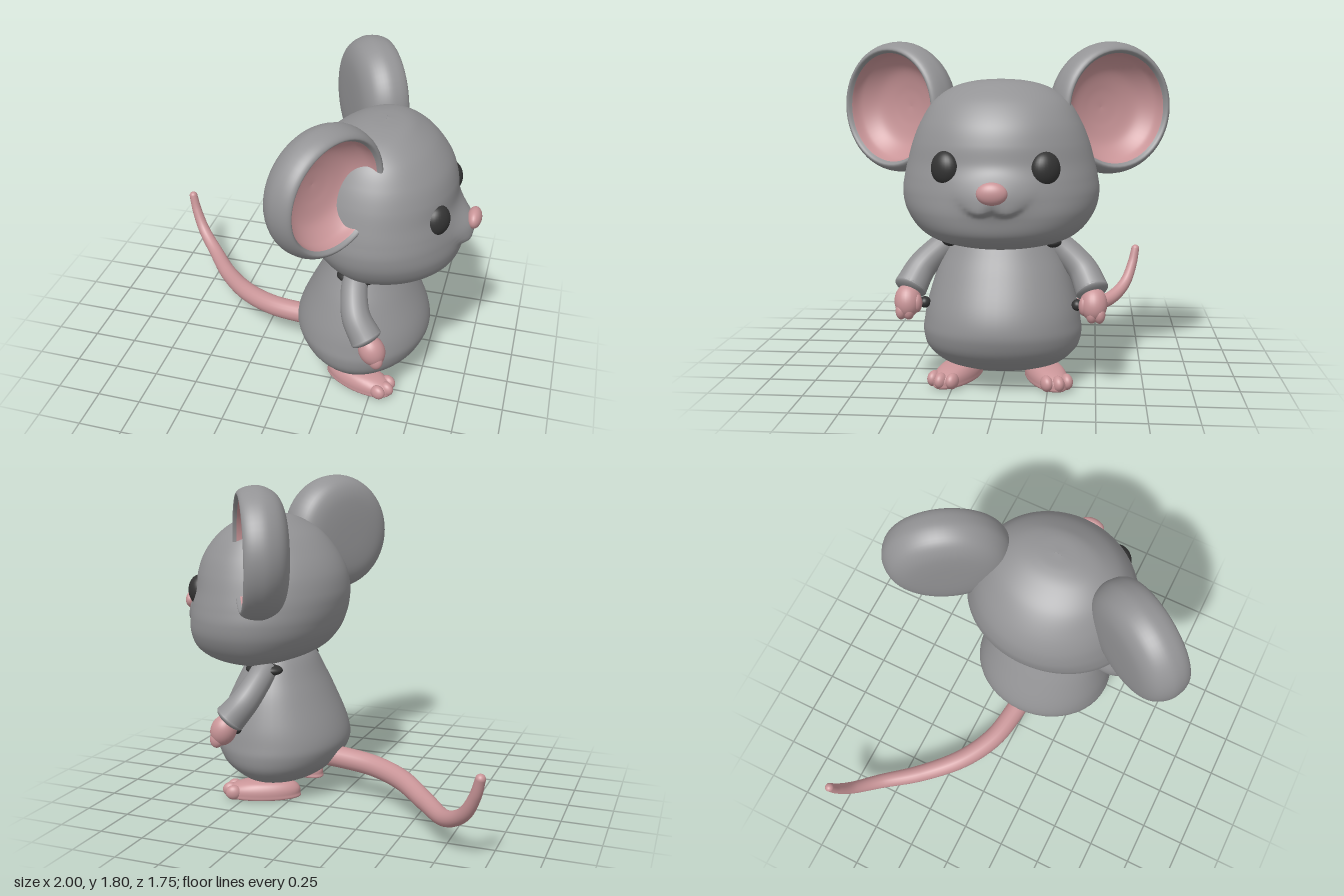
import * as THREE from 'three';

const mat = (name, color) => Object.assign(new THREE.MeshStandardMaterial({ color }), { name });

// Stacked oval rings; each row is [y, back x, front x, half width]
function loft(rows, xc, steps = 40, n = 48, bump = () => 0) {
  const a = new THREE.CatmullRomCurve3(rows.map(r => new THREE.Vector3(r[0], r[1], r[2])), false, 'catmullrom', 0.5);
  const b = new THREE.CatmullRomCurve3(rows.map(r => new THREE.Vector3(r[3], 0, 0)), false, 'catmullrom', 0.5);
  const pos = [], idx = [];
  for (let j = 0; j <= steps; j++) {
    const p = a.getPoint(j / steps), w = b.getPoint(j / steps).x;
    for (let i = 0; i < n; i++) {
      const t = i / n * Math.PI * 2, c = Math.cos(t), z = w * Math.sin(t);
      pos.push(xc + c * (c > 0 ? p.z - xc + bump(p.x, z) : xc - p.y), p.x, z);
      if (j < steps) {
        const k = j * n + i, m = j * n + (i + 1) % n;
        idx.push(k, k + n, m, m, k + n, m + n);
      }
    }
  }
  const g = new THREE.BufferGeometry();
  g.setAttribute('position', new THREE.Float32BufferAttribute(pos, 3));
  g.setIndex(idx);
  g.computeVertexNormals();
  return g;
}

// Tube whose radius runs smoothly from r0 to r1
function taper(points, r0, r1, segs = 40, sides = 20) {
  const curve = new THREE.CatmullRomCurve3(points.map(p => new THREE.Vector3(...p)));
  const g = new THREE.TubeGeometry(curve, segs, 1, sides);
  const pos = g.attributes.position, v = new THREE.Vector3();
  for (let i = 0; i < pos.count; i++) {
    const t = Math.floor(i / (sides + 1)) / segs, c = curve.getPointAt(t);
    v.fromBufferAttribute(pos, i).sub(c).multiplyScalar(r0 + (r1 - r0) * t * t).add(c);
    pos.setXYZ(i, v.x, v.y, v.z);
  }
  return g;
}

// Snout swelling plus two lip bulges with a crisp lower edge
function face(y, z) {
  const snout = 0.065 * Math.exp(-(((y - 1.065) / 0.075) ** 2) - (z / 0.14) ** 2);
  const across = (Math.abs(z) - 0.062) / 0.062;
  const d = y - 0.985 - 0.02 * across * across;
  const lip = 0.032 * Math.exp(-((across / 1.1) ** 2) - (d / (d < 0 ? 0.014 : 0.055)) ** 2);
  return snout + lip;
}

export function createModel() {
  const fur = mat('grey fur', 0x939395);
  const skin = mat('pink skin', 0xc99598);
  const dark = mat('dark', 0x343434);
  const model = new THREE.Group();
  model.name = 'mouse';

  const add = (name, geo, material, parent = model) => {
    const m = new THREE.Mesh(geo, material);
    m.name = name;
    parent.add(m);
    return m;
  };
  const blob = (name, material, p, r, parent = model) => {
    const m = add(name, new THREE.SphereGeometry(1, 28, 20), material, parent);
    m.position.set(...p);
    m.scale.set(...r);
    return m;
  };

  // Head
  add('head', loft([
    [0.758, 0.54, 0.54, 0], [0.766, 0.4, 0.68, 0.2], [0.8, 0.27, 0.8, 0.345], [0.86, 0.15, 0.885, 0.43],
    [0.95, 0.07, 0.91, 0.488], [1.04, 0.03, 0.9, 0.507], [1.12, 0.01, 0.885, 0.498], [1.2, 0.005, 0.865, 0.48],
    [1.3, 0.025, 0.852, 0.452], [1.4, 0.08, 0.815, 0.41], [1.5, 0.17, 0.735, 0.345], [1.57, 0.28, 0.64, 0.245],
    [1.602, 0.37, 0.57, 0.13], [1.612, 0.47, 0.47, 0]], 0.46, 156, 140, face), fur);
  blob('nose', skin, [0.96, 1.085, 0], [0.04, 0.055, 0.075]);

  // Body with a dark underside
  add('body', loft([
    [0.095, 0.22, 0.55, 0.24], [0.125, 0.15, 0.61, 0.325], [0.2, 0.06, 0.71, 0.4], [0.28, 0.01, 0.755, 0.422],
    [0.35, 0, 0.765, 0.415], [0.45, 0.03, 0.74, 0.396], [0.6, 0.1, 0.67, 0.35], [0.7, 0.15, 0.62, 0.305],
    [0.8, 0.2, 0.57, 0.25], [0.86, 0.25, 0.52, 0.2]], 0.38), fur);
  const under = add('underside', new THREE.CircleGeometry(1, 40), dark);
  under.rotation.x = Math.PI / 2;
  under.position.set(0.385, 0.096, 0);
  under.scale.set(0.165, 0.24, 1);

  // Tail
  const tailPath = [[0.12, 0.225, -0.02], [0, 0.22, -0.03], [-0.2, 0.208, -0.07], [-0.4, 0.188, -0.18], [-0.6, 0.158, -0.38],
    [-0.76, 0.168, -0.58], [-0.88, 0.25, -0.69], [-0.945, 0.37, -0.74], [-0.972, 0.465, -0.76]];
  add('tail', taper(tailPath, 0.062, 0.026, 60), skin);
  blob('tailTip', skin, tailPath[8], [0.026, 0.026, 0.026]);

  // Ear profiles: thick rounded back and rim, then hollow inside
  const lathe = pts => new THREE.LatheGeometry(
    new THREE.SplineCurve(pts.map(p => new THREE.Vector2(...p))).getPoints(36), 56);
  const earBack = lathe([[0, -0.125], [0.14, -0.122], [0.24, -0.108], [0.307, -0.07], [0.343, 0],
    [0.342, 0.065], [0.325, 0.11], [0.302, 0.126], [0.286, 0.105]]);
  const earInside = lathe([[0.286, 0.105], [0.268, 0.045], [0.2, -0.02], [0.1, -0.05], [0, -0.06]]);
  const footShape = loft([[0, 0, 0, 0], [0.003, -0.2, 0.19, 0.085], [0.03, -0.215, 0.215, 0.096],
    [0.065, -0.21, 0.2, 0.092], [0.095, -0.17, 0.13, 0.072], [0.11, -0.08, 0.04, 0.03], [0.112, 0, 0, 0]], 0, 30, 36);

  for (const s of [1, -1]) {
    const side = s > 0 ? 'left' : 'right';
    const group = part => {
      const g = new THREE.Group();
      g.name = side + part;
      model.add(g);
      return g;
    };

    blob(side + 'Eye', dark, [0.788, 1.185, s * 0.242], [0.062, 0.087, 0.08]).rotation.y = -s * 0.65;

    const ear = group('Ear');
    ear.position.set(0.25, 1.455, s * 0.543);
    ear.quaternion.setFromUnitVectors(new THREE.Vector3(0, 1, 0), new THREE.Vector3(0.85, 0, s * 0.53).normalize());
    add('earBack', earBack, fur, ear);
    add('earInside', earInside, skin, ear);

    // Sleeve-like arm with dark gaps at shoulder and wrist, and a mitten hand
    const arm = group('Arm');
    const path = [[0.38, 0.77, s * 0.25], [0.39, 0.71, s * 0.335], [0.425, 0.62, s * 0.425], [0.495, 0.525, s * 0.475]];
    add('sleeve', taper(path, 0.072, 0.088, 24), fur, arm);
    blob('cuff', fur, path[3], [0.088, 0.03, 0.088], arm).quaternion.setFromUnitVectors(
      new THREE.Vector3(0, 1, 0), new THREE.Vector3(0.075, -0.092, s * 0.04).normalize());
    blob('shoulderGap', dark, [0.385, 0.764, s * 0.26], [0.11, 0.036, 0.068], arm);
    blob('wristGap', dark, [0.5, 0.445, s * 0.4], [0.035, 0.03, 0.03], arm);
    blob('palm', skin, [0.53, 0.46, s * 0.485], [0.072, 0.09, 0.07], arm).rotation.z = 0.4;
    blob('thumb', skin, [0.545, 0.45, s * 0.435], [0.035, 0.05, 0.028], arm);
    for (const z of [0.475, 0.515])
      blob('finger', skin, [0.56, 0.41, s * z], [0.038, 0.046, 0.03], arm);

    // Foot turned outward, with three toes
    const foot = group('Foot');
    foot.position.set(0.418, 0, s * 0.237);
    foot.rotation.y = -s * 0.38;
    add('sole', footShape, skin, foot);
    for (const z of [-0.055, 0, 0.055])
      blob('toe', skin, [0.185 - Math.abs(z) * 0.4, 0.046, z], [0.045, 0.042, 0.032], foot);
  }
  return model;
}
